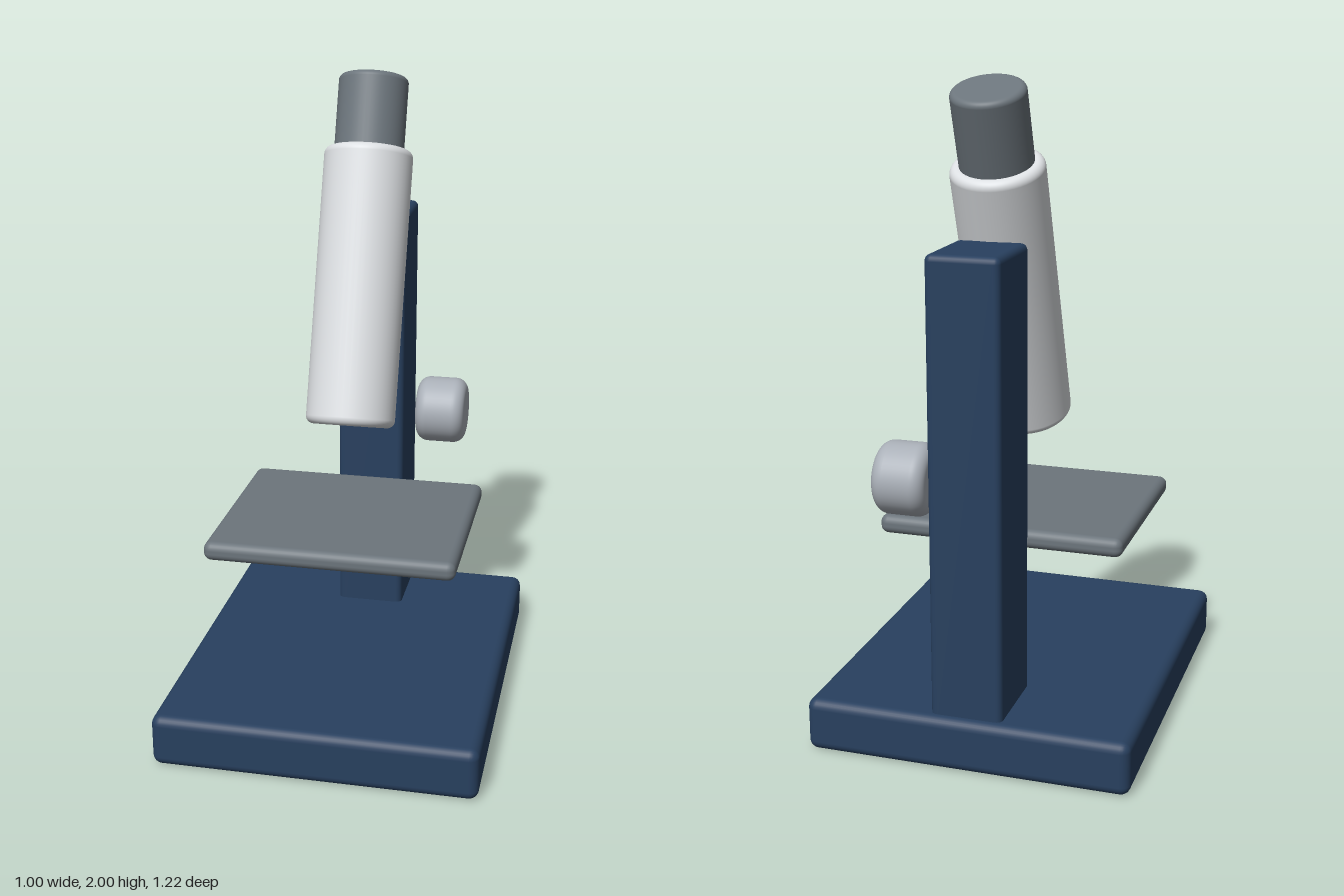
import * as THREE from 'three';
import { RoundedBoxGeometry } from 'three/addons/geometries/RoundedBoxGeometry.js';

const paint = (color) => new THREE.MeshStandardMaterial({ color });
const navy = paint(0x28405f);
const slate = paint(0x6c757c);
const silver = paint(0xaab0b8);
const white = paint(0xdcdfe2);

function add(parent, name, geometry, material, x, y, z) {
  const mesh = new THREE.Mesh(geometry, material);
  mesh.name = name;
  mesh.position.set(x, y, z);
  parent.add(mesh);
  return mesh;
}

const box = (w, h, d, r) => new RoundedBoxGeometry(w, h, d, 3, r);

// Closed cylinder along y with rounded rims, standing on y = 0
function roundedCylinder(radius, length, bevel) {
  const profile = new THREE.Path();
  profile.moveTo(0, 0);
  profile.lineTo(radius - bevel, 0);
  profile.absarc(radius - bevel, bevel, bevel, -Math.PI / 2, 0, false);
  profile.lineTo(radius, length - bevel);
  profile.absarc(radius - bevel, length - bevel, bevel, 0, Math.PI / 2, false);
  profile.lineTo(0, length);
  return new THREE.LatheGeometry(profile.getPoints(6), 48);
}

export function createModel() {
  const model = new THREE.Group();
  model.name = 'microscope';

  // Stand
  add(model, 'base', box(1, 0.165, 1.22, 0.03), navy, 0, 0.0825, 0);
  add(model, 'pillar', box(0.22, 1.43, 0.275, 0.02), navy, 0, 0.82, -0.443);
  add(model, 'stage', box(0.775, 0.06, 0.66, 0.025), slate, 0, 0.62, 0.055);

  // Focus knob on the left side of the pillar
  const knob = add(model, 'focusKnob', roundedCylinder(0.11, 0.165, 0.04), silver, 0.14, 0.842, -0.443);
  knob.rotation.z = -Math.PI / 2;

  // Viewing tube leaning back, with the eyepiece on the same axis
  const optics = new THREE.Group();
  optics.name = 'optics';
  optics.position.set(0, 0.935, 0.037);
  optics.rotation.x = -0.35;
  add(optics, 'tube', roundedCylinder(0.14, 0.872, 0.025), white, 0, 0, 0);
  add(optics, 'eyepiece', roundedCylinder(0.11, 0.3, 0.018), slate, 0, 0.8, 0);
  model.add(optics);

  return model;
}
